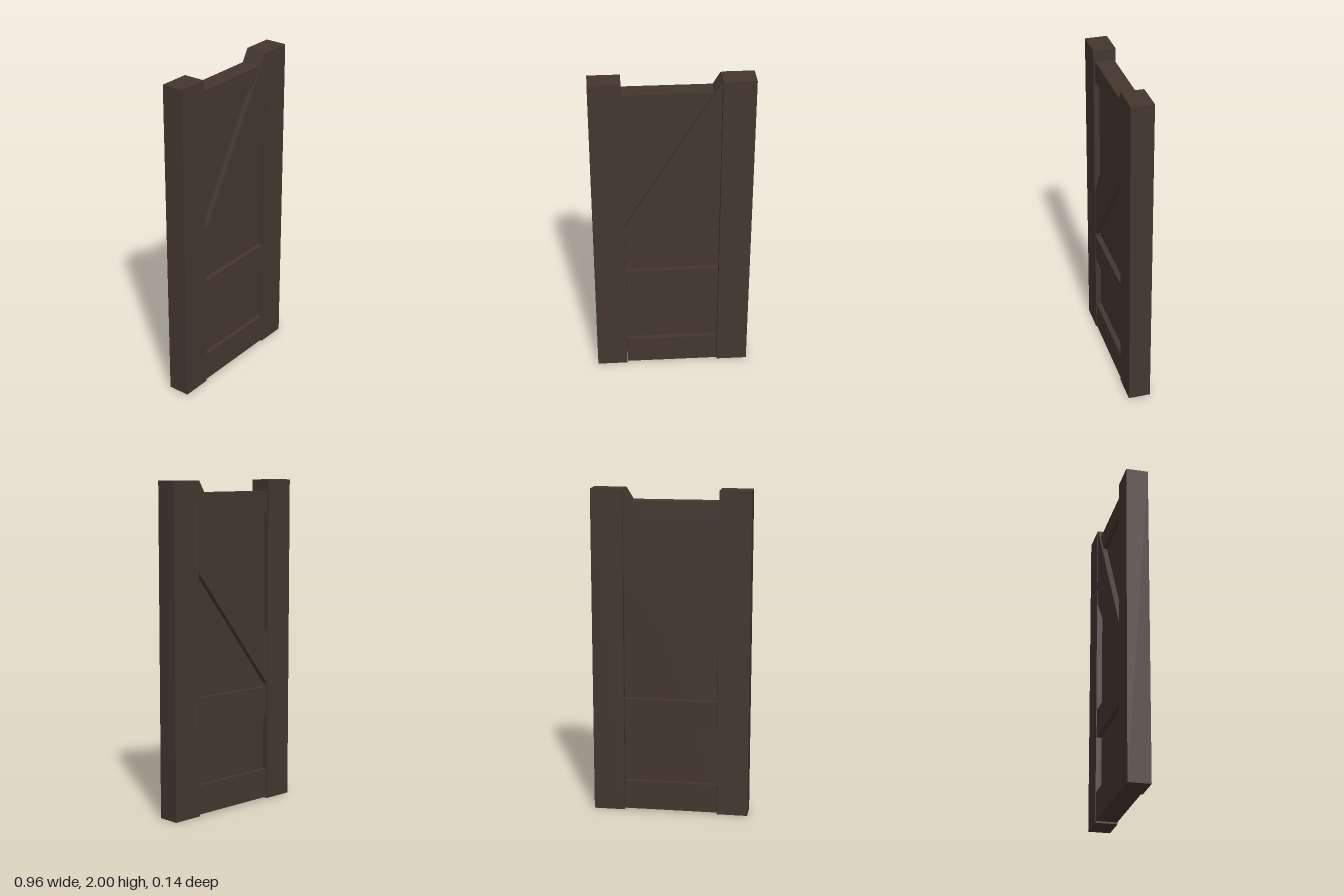
import * as THREE from 'three';

export function createModel() {
  const model = new THREE.Group();
  model.name = 'halfTimberedWall';
  const wood = new THREE.MeshStandardMaterial({ color: 0x44362f });
  wood.name = 'dark wood';

  // Timber cut to an outline in x and y, centred in depth
  const timber = (name, outline, depth) => {
    const shape = new THREE.Shape(outline.map(([x, y]) => new THREE.Vector2(x, y)));
    const geometry = new THREE.ExtrudeGeometry(shape, { depth, bevelEnabled: false });
    geometry.translate(0, 0, -depth / 2);
    const mesh = new THREE.Mesh(geometry, wood);
    mesh.name = name;
    model.add(mesh);
  };
  const rect = (x0, x1, y0, y1) => [[x0, y0], [x1, y0], [x1, y1], [x0, y1]];

  // Side posts
  timber('rightPost', rect(-0.48, -0.29, 0, 2), 0.136);
  timber('leftPost', rect(0.288, 0.48, 0, 2), 0.136);

  // Recessed infill panel, stopping short of top and bottom
  timber('panel', rect(-0.29, 0.288, 0.13, 1.88), 0.066);

  // Cross rails, the top one mitred against the brace
  timber('bottomRail', rect(-0.286, 0.284, 0.01, 0.19), 0.13);
  timber('middleRail', rect(-0.286, 0.284, 0.54, 0.72), 0.13);
  timber('topRail', [[-0.29, 1.8], [0.158, 1.8], [0.238, 1.93], [-0.29, 1.93]], 0.115);

  // Tapered diagonal brace
  timber('diagonalBrace', [[-0.286, 0.74], [0.284, 1.46], [0.284, 2], [-0.286, 1.05]], 0.132);

  return model;
}
